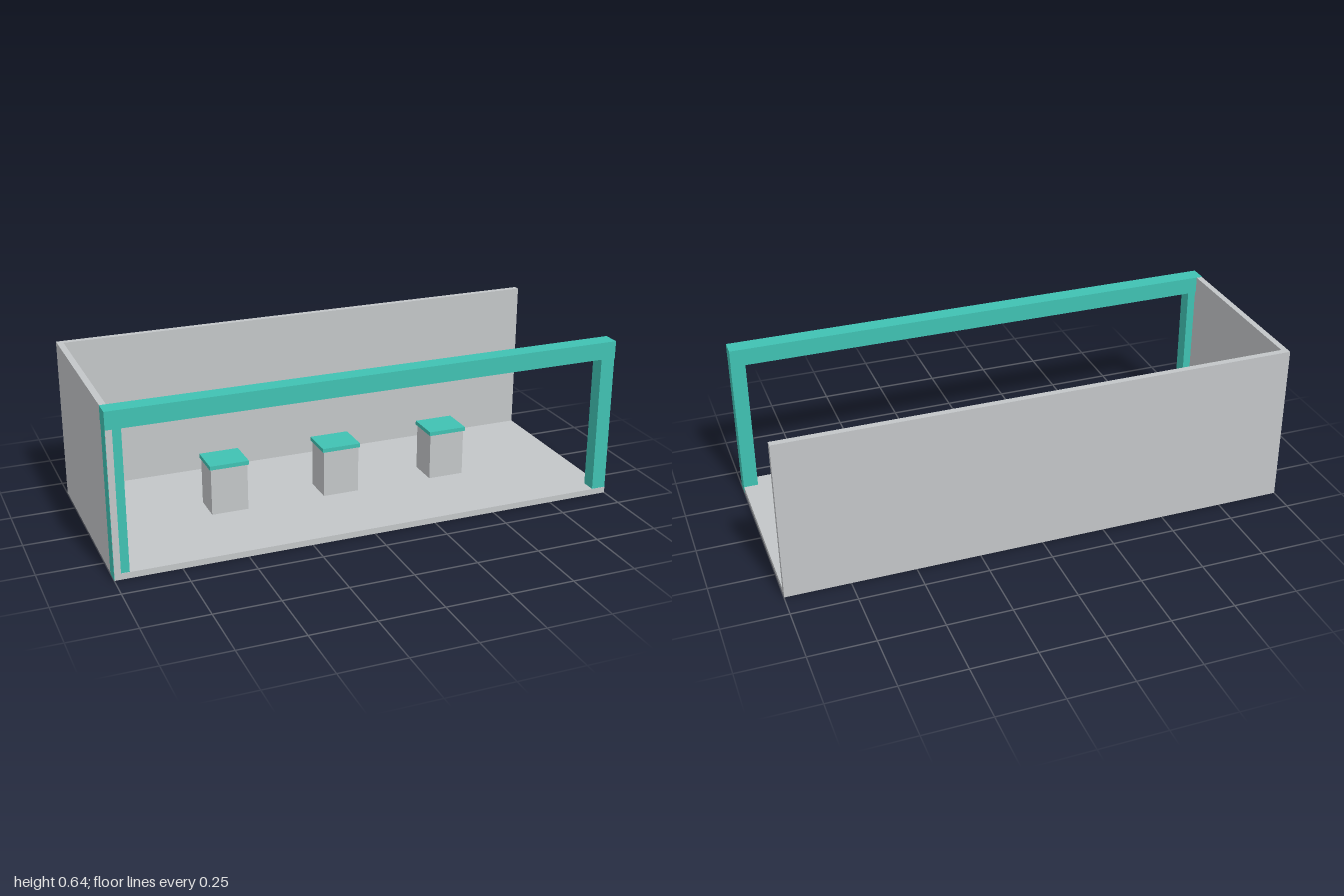
import * as THREE from 'three';

export function createModel() {
  const model = new THREE.Group();
  const grey = new THREE.MeshStandardMaterial({ color: 0xc3c6c8 });
  grey.name = 'lightGrey';
  const teal = new THREE.MeshStandardMaterial({ color: 0x40c2b3 });
  teal.name = 'teal';

  // Box given by its minimum and maximum corners
  function box(name, material, [x0, y0, z0], [x1, y1, z1], parent = model) {
    const mesh = new THREE.Mesh(new THREE.BoxGeometry(x1 - x0, y1 - y0, z1 - z0), material);
    mesh.position.set((x0 + x1) / 2, (y0 + y1) / 2, (z0 + z1) / 2);
    mesh.name = name;
    parent.add(mesh);
  }

  // Booth shell: floor, back wall and one side wall, open at the other side
  box('floor', grey, [-0.999, 0.001, -0.4], [0.999, 0.025, 0.399]);
  box('backWall', grey, [-0.999, 0.025, -0.4], [0.999, 0.639, -0.375]);
  box('sideWall', grey, [-0.999, 0.025, -0.375], [-0.975, 0.639, 0.399]);

  // Front portal frame; posts run down through the floor
  box('frontBeam', teal, [-1, 0.572, 0.332], [1, 0.64, 0.4]);
  for (const side of [-1, 1]) {
    const inner = side * 0.943;
    box(side < 0 ? 'rightPost' : 'leftPost', teal,
      [Math.min(side, inner), 0, 0.338], [Math.max(side, inner), 0.572, 0.397]);
  }

  // Row of three pedestals with overhanging caps
  for (const x of [-0.4625, -0.0025, 0.4575]) {
    const stool = new THREE.Group();
    stool.name = 'pedestal';
    stool.position.set(x, 0, -0.001);
    box('pedestalBase', grey, [-0.073, 0.025, -0.062], [0.073, 0.213, 0.062], stool);
    box('pedestalCap', teal, [-0.078, 0.213, -0.068], [0.078, 0.229, 0.068], stool);
    model.add(stool);
  }
  return model;
}
